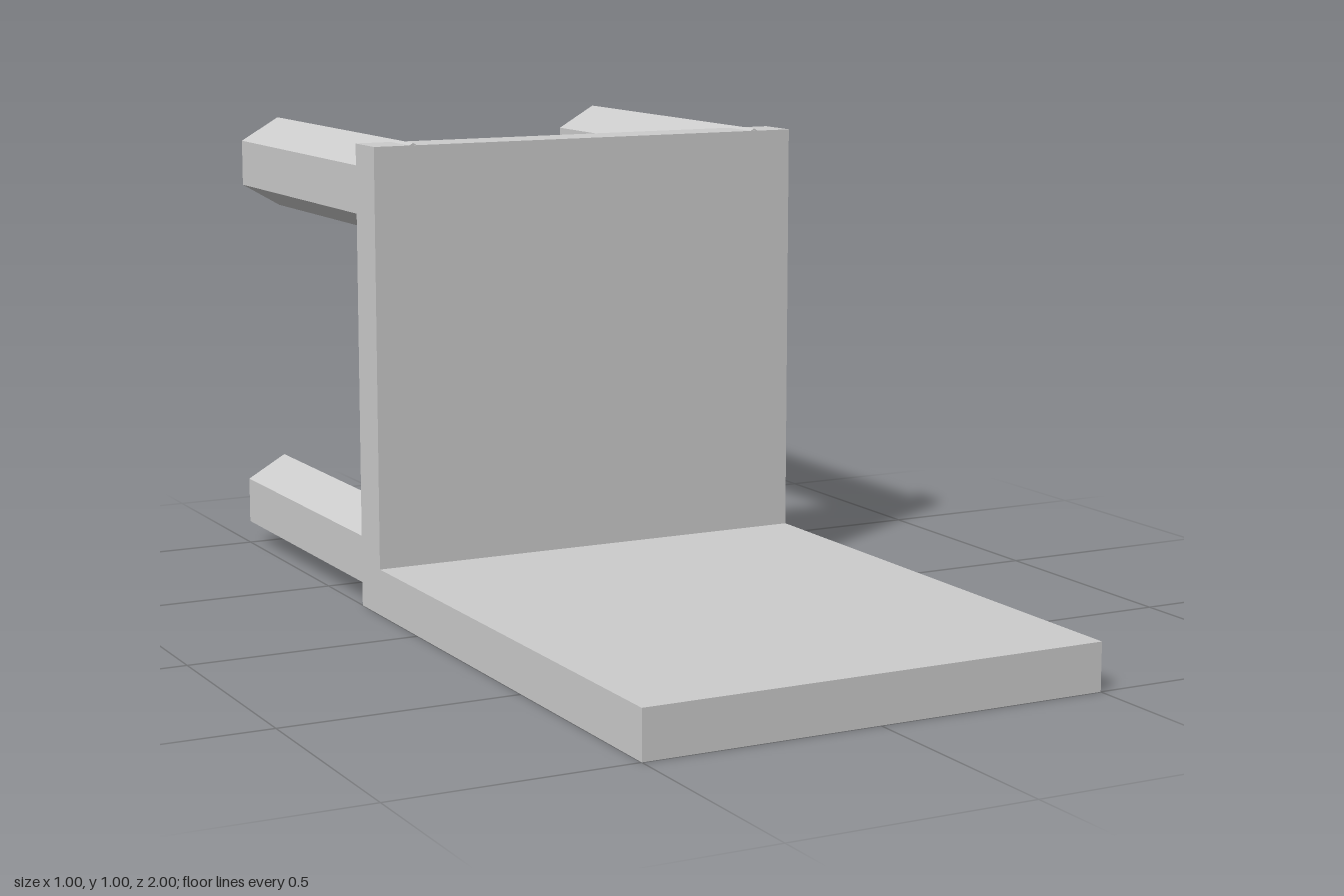
import * as THREE from 'three';

export function createModel() {
  const group = new THREE.Group();
  const material = new THREE.MeshStandardMaterial({ color: 0xcccccc, flatShading: true });

  function add(name, geometry, x, y, z) {
    const mesh = new THREE.Mesh(geometry, material);
    mesh.name = name;
    mesh.position.set(x, y, z);
    group.add(mesh);
  }

  // Flat slab and upright panel, meeting in an L
  add('slab', new THREE.BoxGeometry(1, 0.1, 1.2), 0, 0.05, 0.4);
  add('panel', new THREE.BoxGeometry(1, 1, 0.1), 0, 0.5, -0.25);

  // Four hexagonal legs, a corner pointing up, running back from the panel
  const radius = 0.1025;
  const front = -0.201, back = -1;
  const legGeometry = new THREE.CylinderGeometry(radius, radius, front - back, 6);
  legGeometry.rotateX(Math.PI / 2);
  for (const [side, sx] of [['left', 1], ['right', -1]]) {
    for (const [level, y] of [['Lower', radius], ['Upper', 0.8 + radius]]) {
      add(`${side}${level}Leg`, legGeometry, sx * 0.411, y, (front + back) / 2);
    }
  }

  return group;
}
